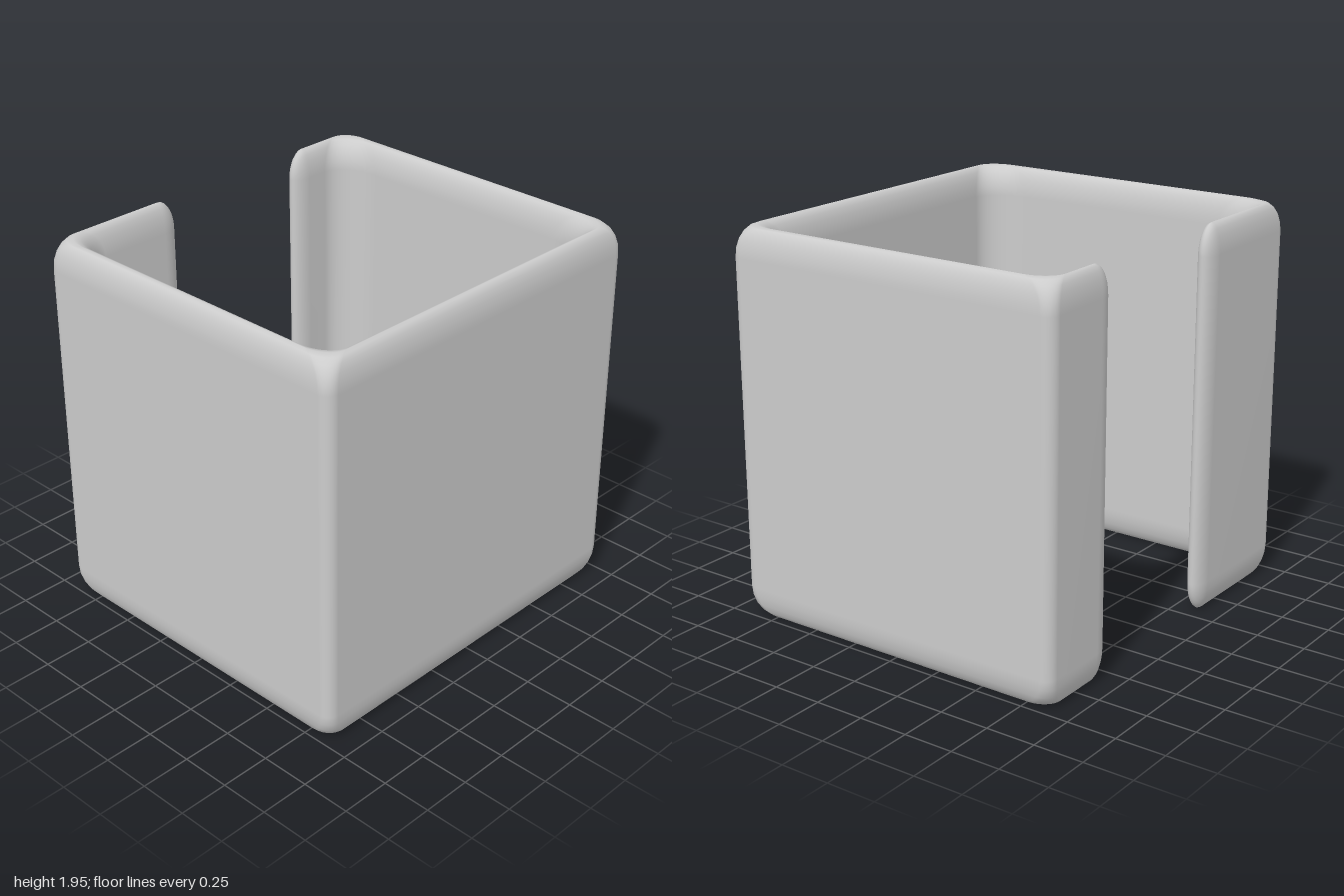
import * as THREE from 'three';
import { mergeVertices } from 'three/addons/utils/BufferGeometryUtils.js';

const HEIGHT = 1.95, CAP = 0.15;            // wall height, height of the rounded rims
const OUT_X = 1, OUT_Z = 0.905, OUT_R = 0.06; // outer plan
const IN_X = 0.885, IN_FRONT = 0.795, IN_BACK = 0.81; // inner plan
const IN_RX = 0.15, IN_RZ = 0.22;           // inner corner radii
const TIP = 0.09, CAP_STEPS = 10, CORNER_STEPS = 10;

// Plan stations: an outer and inner point, and k, which tapers the wall to its tips
function wallStations() {
  const stations = [];
  const add = (ox, oz, ix, iz, k = 1) => stations.push({ ox, oz, ix, iz, k });

  const tabEnd = (tipX, dir) => {
    const list = [];
    for (let i = 0; i <= CAP_STEPS; i++) {
      const a = (i / CAP_STEPS) * Math.PI / 2;
      const x = tipX + dir * TIP * (1 - Math.cos(a));
      list.push([x, -OUT_Z, x, -IN_BACK, Math.sin(a)]);
    }
    return list;
  };

  const corner = (sx, sz, start) => {
    const inZ = sz > 0 ? IN_FRONT : IN_BACK;
    for (let i = 0; i <= CORNER_STEPS; i++) {
      const a = start + (i / CORNER_STEPS) * Math.PI / 2;
      const c = Math.cos(a), s = Math.sin(a);
      add(sx * (OUT_X - OUT_R) + OUT_R * c, sz * (OUT_Z - OUT_R) + OUT_R * s,
        sx * (IN_X - IN_RX) + IN_RX * c, sz * (inZ - IN_RZ) + IN_RZ * s);
    }
  };

  tabEnd(0.535, 1).forEach((p) => add(...p));
  corner(1, -1, -Math.PI / 2);
  corner(1, 1, 0);
  corner(-1, 1, Math.PI / 2);
  corner(-1, -1, Math.PI);
  tabEnd(-0.275, -1).reverse().forEach((p) => add(...p));
  return stations;
}

// Upright ring across the wall thickness, with elliptical top and bottom rims
function wallGeometry() {
  const stations = wallStations();
  const positions = [], index = [];
  const ring = 2 * (CAP_STEPS + 1);
  for (const { ox, oz, ix, iz, k } of stations) {
    for (let j = 0; j < ring; j++) {
      const top = j <= CAP_STEPS;
      const a = Math.PI * (top ? j / CAP_STEPS : 1 + (j - CAP_STEPS - 1) / CAP_STEPS);
      const w = 0.5 + 0.5 * k * Math.cos(a);
      positions.push(ix + (ox - ix) * w,
        (top ? HEIGHT - CAP : CAP) + CAP * k * Math.sin(a),
        iz + (oz - iz) * w);
    }
  }
  for (let s = 0; s < stations.length - 1; s++) {
    for (let j = 0; j < ring; j++) {
      const a = s * ring + j, b = s * ring + (j + 1) % ring;
      index.push(a, b, a + ring, b, b + ring, a + ring);
    }
  }
  const geometry = new THREE.BufferGeometry();
  geometry.setAttribute('position', new THREE.Float32BufferAttribute(positions, 3));
  geometry.setIndex(index);
  const merged = mergeVertices(geometry, 1e-5);
  merged.computeVertexNormals();
  return merged;
}

export function createModel() {
  const group = new THREE.Group();
  group.name = 'openSleeve';
  const wall = new THREE.Mesh(wallGeometry(), new THREE.MeshStandardMaterial({ color: 0xcccccc }));
  wall.name = 'wrapAroundWall';
  group.add(wall);
  return group;
}
